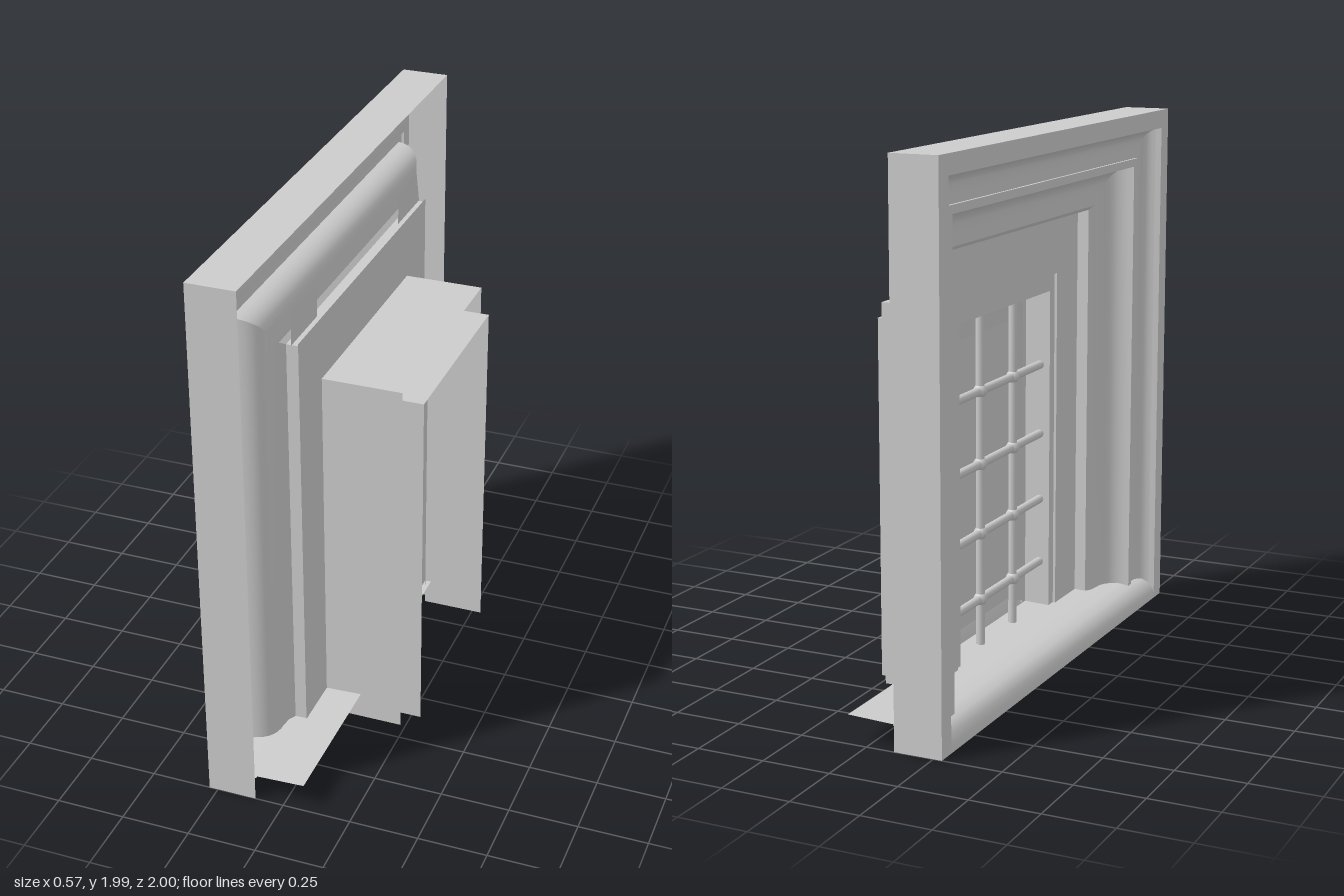
import * as THREE from 'three';
import { toCreasedNormals } from 'three/addons/utils/BufferGeometryUtils.js';

export function createModel() {
  const group = new THREE.Group();
  const mat = new THREE.MeshStandardMaterial({ color: 0xcccccc, side: THREE.DoubleSide });

  const add = (name, geo, x = 0, y = 0, z = 0) => {
    const mesh = new THREE.Mesh(geo, mat);
    mesh.name = name;
    mesh.position.set(x, y, z);
    group.add(mesh);
    return mesh;
  };

  // Skin a list of equal-length cross-sections into an open sheet
  const skin = (name, rows) => {
    const pos = [];
    for (let i = 0; i < rows.length - 1; i++) {
      for (let j = 0; j < rows[i].length - 1; j++) {
        const a = rows[i][j], b = rows[i][j + 1], c = rows[i + 1][j + 1], d = rows[i + 1][j];
        pos.push(...a, ...b, ...c, ...a, ...c, ...d);
      }
    }
    const geo = new THREE.BufferGeometry();
    geo.setAttribute('position', new THREE.Float32BufferAttribute(pos, 3));
    geo.computeVertexNormals();
    return add(name, toCreasedNormals(geo, 0.6));
  };

  // Mitred surround: each profile point is [half width, depth x, top y]
  const surround = (name, profile, bottom) => skin(name, profile.map(([w, x, top = w + 0.995]) =>
    [[x, bottom, w], [x, top, w], [x, top, -w], [x, bottom, -w]]));

  // Rounded step between two profile points; the middle point sets the bulge
  const curve = (w0, x0, wc, xc, w1, x1) =>
    new THREE.QuadraticBezierCurve(new THREE.Vector2(w0, x0), new THREE.Vector2(wc, xc), new THREE.Vector2(w1, x1))
      .getPoints(8).map(p => [p.x, p.y]);

  // Outer casing with two hollow moulded steps
  surround('outerFrame', [[1, -0.105], [1, -0.282], [0.93, -0.282], [0.925, -0.26]], 0.01);
  surround('outerMoulding', [
    ...curve(0.925, -0.26, 0.91, -0.205, 0.83, -0.215), [0.82, -0.215], [0.82, -0.225], [0.79, -0.225]], 0.02);
  surround('innerMoulding', [
    ...curve(0.79, -0.225, 0.785, -0.125, 0.69, -0.125), [0.65, -0.12], [0.625, -0.105, 1.63]], 0.02);

  // Wall panel around the window and its thin rim
  surround('wallPanel', [[0.625, -0.105, 1.63], [0.625, -0.06, 1.63], [0.43, -0.06, 1.41]], 0.015);
  surround('panelRim', [[0.63, -0.06, 1.64], [0.62, -0.06, 1.63]], 0.015);

  // Deep window box, inner jamb, and inner liner
  surround('windowBox', [[0.43, -0.06, 1.41], [0.43, 0.232, 1.41]], 0.01);
  surround('windowJamb', [
    [0.43, -0.05, 1.41], [0.388, -0.05, 1.347], [0.388, 0.05, 1.347], [0.36, 0.05, 1.34]], 0.02);
  surround('windowLiner', [[0.36, 0.05, 1.34], [0.36, 0.285, 1.34]], 0.01);
  surround('paneBevel', [[0.36, 0.05, 1.34], [0.31, 0.068, 1.25], [0.3, 0.07, 1.24]], 0.12);
  skin('lowerPaneBevel', [[0.05, 0.06, 0.36], [0.05, 0.11, 0.36], [0.07, 0.15, 0.3]]
    .map(([x, y, z]) => [[x, y, z], [x, y, -z]]));

  // Window pane
  const pane = add('windowPane', new THREE.PlaneGeometry(0.6, 1.09), 0.07, 0.695, 0);
  pane.rotation.y = Math.PI / 2;

  // Sill with a rounded nose and the flat ledge behind it
  skin('roundedSill', [[-0.282, 0.01], [-0.28, 0.04], [-0.265, 0.07], [-0.235, 0.09], [-0.19, 0.1], [-0.1, 0.103]]
    .map(([x, y]) => [[x, y, 1], [x, y, -1]]));
  skin('ledge', [[-0.1, 0.103], [0.075, 0.11]].map(([x, y]) => [[x, y, 0.99], [x, y, -0.99]]));

  // Window grille with collars at the crossings
  const barX = -0.01, rows = [0.28, 0.53, 0.79, 1.06], columns = [-0.14, 0.14];
  for (const z of columns) {
    add('verticalBar', new THREE.CylinderGeometry(0.016, 0.016, 1.345, 12), barX, 0.6825, z);
  }
  for (const y of rows) {
    const bar = add('horizontalBar', new THREE.CylinderGeometry(0.016, 0.016, 0.8, 12), barX, y, 0);
    bar.rotation.x = Math.PI / 2;
    for (const z of columns) add('barCollar', new THREE.SphereGeometry(0.026, 12, 8), barX, y, z);
  }

  // Small upright tabs above the panel corners
  for (const s of [1, -1]) {
    skin('cornerTab', [
      [[-0.085, 1.63, s * 0.63], [-0.085, 1.63, s * 0.4]],
      [[-0.09, 1.76, s * 0.61], [-0.085, 1.74, s * 0.4]]]);
  }
  return group;
}
